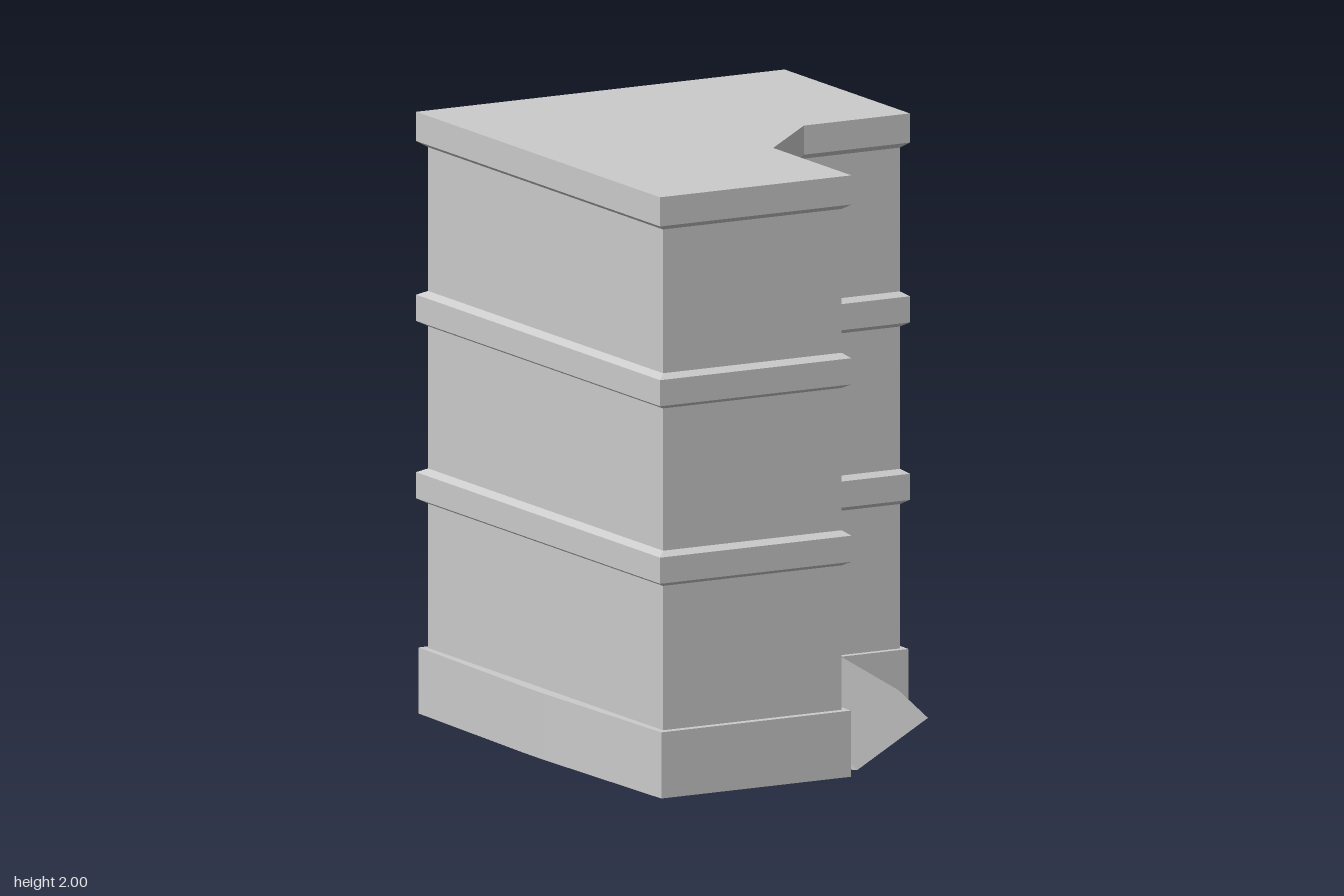
import * as THREE from 'three';

const material = new THREE.MeshStandardMaterial({ color: 0xcccccc, flatShading: true, side: THREE.DoubleSide });

// Solid through stacked rings: each ring is [height, footprint], footprints being [x, z] lists
function loft(name, rings) {
  const pos = [];
  const tri = (...pts) => pts.forEach((p) => pos.push(...p));
  const at = ([y, pts], i) => {
    const [x, z] = pts[i % pts.length];
    return [x, y, z];
  };
  for (let r = 0; r < rings.length - 1; r++) {
    const lo = rings[r], hi = rings[r + 1];
    for (let i = 0; i < lo[1].length; i++) {
      tri(at(lo, i), at(hi, i), at(hi, i + 1));
      tri(at(lo, i), at(hi, i + 1), at(lo, i + 1));
    }
  }
  // End caps, wound to face outwards
  const cap = (ring, up) => {
    const contour = ring[1].map(([x, z]) => new THREE.Vector2(x, z));
    for (const [a, b, c] of THREE.ShapeUtils.triangulateShape(contour, [])) {
      const area = THREE.ShapeUtils.area([contour[a], contour[b], contour[c]]);
      const order = (area < 0) === up ? [a, b, c] : [a, c, b];
      tri(...order.map((i) => at(ring, i)));
    }
  };
  cap(rings[0], false);
  cap(rings[rings.length - 1], true);
  const geo = new THREE.BufferGeometry();
  geo.setAttribute('position', new THREE.Float32BufferAttribute(pos, 3));
  geo.computeVertexNormals();
  return part(name, geo);
}

function part(name, geo) {
  const mesh = new THREE.Mesh(geo, material);
  mesh.name = name;
  return mesh;
}

export function createModel() {
  const group = new THREE.Group();
  group.name = 'cornerBuilding';

  // Footprints: a block with its front right corner cut out and a diagonal entrance wall
  const wall = [[-0.67, -0.77], [0.66, -0.77], [0.66, 0], [0.277, 0], [0, 0.277], [0, 0.77], [-0.67, 0.77]];
  const ledge = [[-0.698, -0.8], [0.685, -0.8], [0.685, 0.022], [0.287, 0.022], [0.02, 0.287], [0.02, 0.8], [-0.698, 0.8]];
  const doorway = [...wall.slice(0, 4), [0.205, 0.072], [0.17, 0.037], [0.033, 0.174], [0.068, 0.209], ...wall.slice(4)];
  const plinth = [[-0.692, -0.793], [0.68, -0.793], [0.68, 0.022], [0.295, 0.022], [0.02, 0.297], [0.02, 0.797],
    [-0.692, 0.797], [-0.712, 0.06], [-0.712, -0.06]];

  // Plinth, slightly bowed on the left side
  group.add(loft('plinth', [[0, plinth], [0.22, plinth]]));

  // Walls, split at the sill and head of the recessed doorway
  group.add(loft('sillWall', [[0.2, wall], [0.235, wall]]));
  group.add(loft('doorwayWall', [[0.235, doorway], [0.55, doorway]]));
  group.add(loft('upperWalls', [[0.55, wall], [1.95, wall]]));

  // Bevelled bands between the storeys
  for (const y of [0.7, 1.29]) {
    group.add(loft('storeyBand', [[y, wall], [y + 0.015, ledge], [y + 0.102, ledge], [y + 0.117, wall]]));
  }

  // Flat roof with its cornice
  group.add(loft('roofCornice', [[1.885, wall], [1.903, ledge], [2, ledge]]));

  // Door at the back of the recess
  const door = part('door', new THREE.BoxGeometry(0.194, 0.315, 0.03));
  const doorDistance = 0.277 / Math.SQRT2 - 0.035 - 0.015;
  door.rotation.y = Math.PI / 4;
  door.position.set(doorDistance / Math.SQRT2, 0.3925, doorDistance / Math.SQRT2);
  group.add(door);

  // Entrance ramp running out along the diagonal
  const profile = new THREE.Shape([[0.17, 0], [0.569, 0], [0.322, 0.216], [0.17, 0.216]].map(([d, y]) => new THREE.Vector2(d, y)));
  const width = 0.877;
  const rampGeo = new THREE.ExtrudeGeometry(profile, { depth: width, bevelEnabled: false });
  rampGeo.translate(0, 0, -width / 2).rotateY(-Math.PI / 4);
  group.add(part('entranceRamp', rampGeo));

  return group;
}
